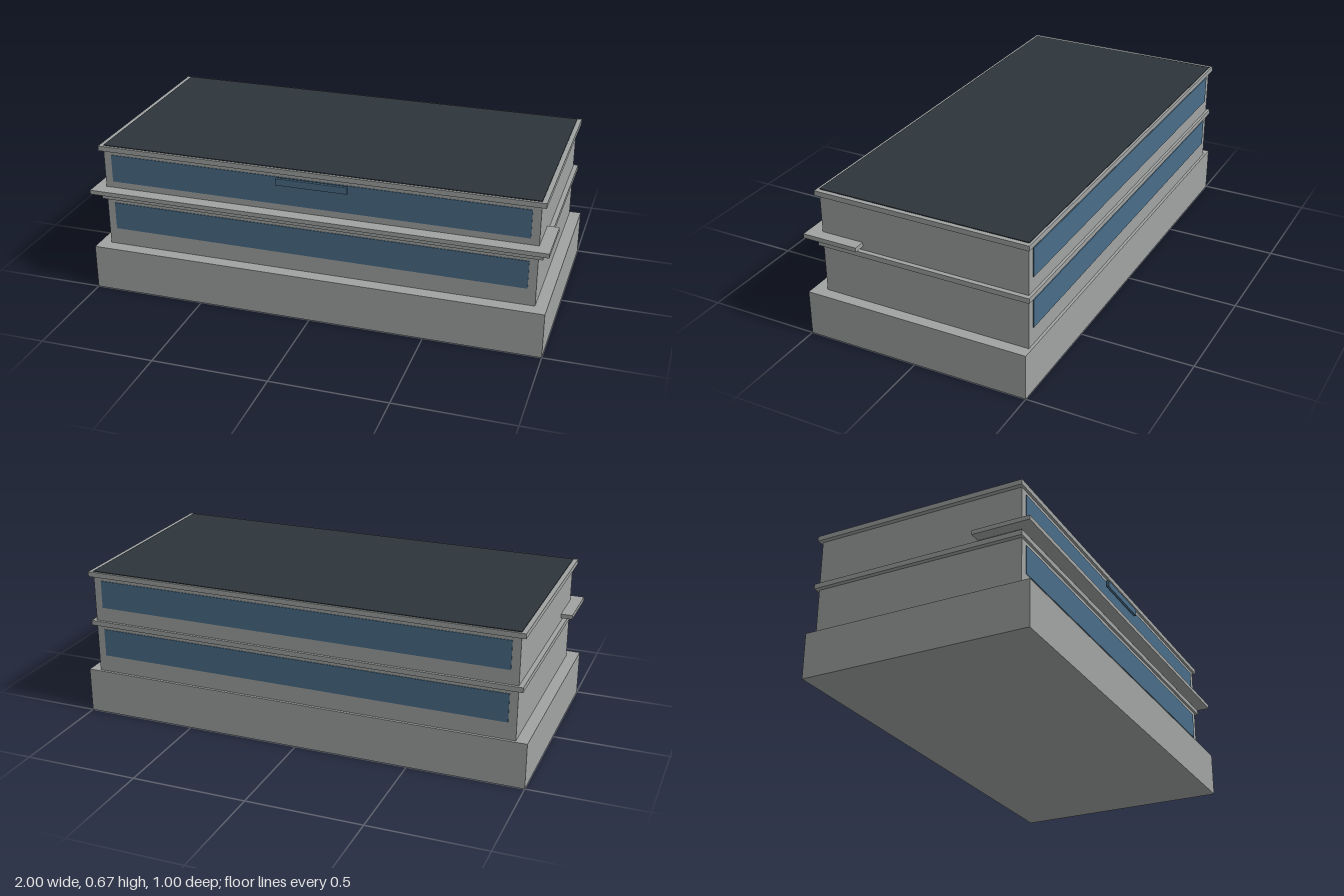
import * as THREE from 'three';

export function createModel() {
  const model = new THREE.Group();
  model.name = 'building';

  const flat = (name, color) => {
    const m = new THREE.MeshStandardMaterial({ color });
    m.name = name;
    return m;
  };
  const concrete = flat('concrete grey', 0xa0a3a2);
  const glass = flat('window blue', 0x496c87);
  const roofing = flat('dark roofing', 0x2d343b);

  // Box given by its lower and upper limits on each axis
  const block = (name, material, [x0, x1], [y0, y1], [z0, z1]) => {
    const mesh = new THREE.Mesh(new THREE.BoxGeometry(x1 - x0, y1 - y0, z1 - z0), material);
    mesh.position.set((x0 + x1) / 2, (y0 + y1) / 2, (z0 + z1) / 2);
    mesh.name = name;
    model.add(mesh);
  };

  // Plinth and main volume
  block('base', concrete, [-1, 1], [0, 0.2], [-0.5, 0.5]);
  block('body', concrete, [-0.95, 0.95], [0.2, 0.643], [-0.488, 0.441]);

  // Each floor has a slab ledge on top and a window band front and back
  ['lower', 'upper'].forEach((floor, i) => {
    const y = 0.2 + i * 0.226;
    block(floor + 'Ledge', concrete, [-0.97, 0.97], [y + 0.217, y + 0.239], [-0.5, 0.452]);
    const band = [y + 0.076, y + 0.2];
    block(floor + 'FrontWindow', glass, [-0.915, 0.915], band, [0.437, 0.444]);
    block(floor + 'BackWindow', glass, [-0.915, 0.915], band, [-0.491, -0.484]);
  });

  // Canopy wrapping the front half, sign panel and roof covering
  block('canopy', concrete, [-1, 1], [0.454, 0.473], [0.25, 0.5]);
  block('signPanel', glass, [-0.155, 0.155], [0.594, 0.624], [0.449, 0.46]);
  block('roof', roofing, [-0.95, 0.95], [0.662, 0.668], [-0.49, 0.44]);

  return model;
}
